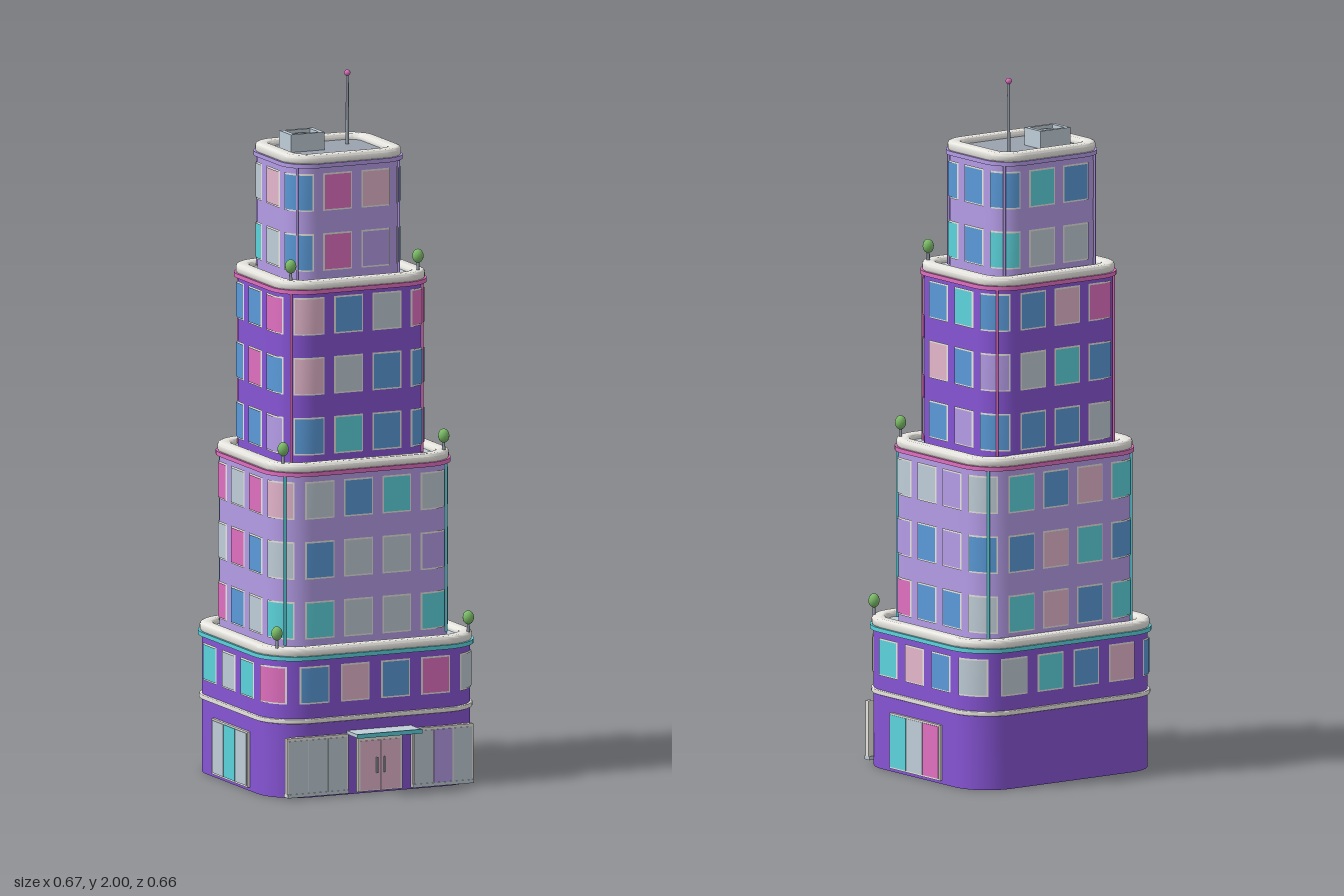
import * as THREE from 'three';
import { toCreasedNormals } from 'three/addons/utils/BufferGeometryUtils.js';

const paint = (name, color) => Object.assign(new THREE.MeshStandardMaterial({ color }), { name });

export function createModel() {
  const model = new THREE.Group();
  model.name = 'steppedTower';

  const purple = paint('purple wall', 0x8654d4), lavender = paint('lavender wall', 0xb49ce6);
  const blue = paint('blue glass', 0x5a9ad8), teal = paint('teal', 0x5cd4dc);
  const pink = paint('pink', 0xe070c0), pale = paint('pale pink glass', 0xe4b6cc);
  const grey = paint('blue grey', 0xc0ced8), cream = paint('warm white trim', 0xe8e6e0);
  const dark = paint('dark grey', 0x9aa2ae), green = paint('green', 0x7cbc68);
  const glass = { B: blue, T: teal, K: pink, P: pale, G: grey, L: lavender };

  function add(name, geometry, material, x = 0, y = 0, z = 0, parent = model) {
    const mesh = new THREE.Mesh(geometry, material);
    mesh.name = name;
    mesh.position.set(x, y, z);
    parent.add(mesh);
    return mesh;
  }
  const box = (name, mat, w, h, d, x, y, z) => add(name, new THREE.BoxGeometry(w, h, d), mat, x, y, z);

  // Rounded rectangle outline, grown by off
  function outline(Type, t, off) {
    const w = t.hw + off, d = t.hd + off, r = Math.max(t.r + off, 0.02), p = new Type();
    p.moveTo(w - r, -d);
    p.absarc(w - r, r - d, r, -Math.PI / 2, 0);
    p.absarc(w - r, d - r, r, 0, Math.PI / 2);
    p.absarc(r - w, d - r, r, Math.PI / 2, Math.PI);
    p.absarc(r - w, r - d, r, Math.PI, Math.PI * 1.5);
    p.closePath();
    return p;
  }

  // Horizontal slab or ring following the outline, from y0 to y1
  function slab(name, mat, t, off, y0, y1, inner = null, bevel = 0) {
    const shape = outline(THREE.Shape, t, off - bevel);
    if (inner !== null) shape.holes.push(outline(THREE.Path, t, inner + bevel));
    const g = new THREE.ExtrudeGeometry(shape, {
      depth: y1 - y0 - 2 * bevel, curveSegments: 5, bevelEnabled: bevel > 0,
      bevelSize: bevel, bevelThickness: bevel, bevelSegments: 2,
    });
    g.rotateX(-Math.PI / 2);
    return add(name, toCreasedNormals(g, 0.9), mat, 0, y0 + bevel, t.cz);
  }

  const perimeter = t => 4 * (t.hw + t.hd - 2 * t.r) + 2 * Math.PI * t.r;

  // Point on the wall at distance s from the front centre, walking towards +x
  function wallPoint(t, s, off) {
    const P = perimeter(t), q = Math.PI * t.r / 2;
    s = (((s + t.hw - t.r) % P) + P) % P;
    for (let k = 0; k < 4; k++) {
      const side = k % 2, half = (side ? t.hd : t.hw) - t.r, face = side ? t.hw : t.hd;
      let along = null, out = face + off;
      if (s < 2 * half) along = s - half;
      else if (s < 2 * half + q) {
        const a = (s - 2 * half) / t.r;
        along = half + (t.r + off) * Math.sin(a);
        out = face - t.r + (t.r + off) * Math.cos(a);
      }
      if (along !== null) return [[along, out], [out, -along], [-along, -out], [-out, along]][k];
      s -= 2 * half + q;
    }
    return [0, t.hd + off];
  }

  // Thin panel that bends with the wall
  function wallPanel(name, mat, t, s, y, w, h, off, parent) {
    const g = new THREE.PlaneGeometry(w, h, 6, 1), p = g.attributes.position;
    for (let i = 0; i < p.count; i++) {
      const [x, z] = wallPoint(t, s + p.getX(i), off);
      p.setXYZ(i, x, y + p.getY(i), z + t.cz);
    }
    g.computeVertexNormals();
    add(name, g, mat, 0, 0, 0, parent);
  }

  // Tiers: half sizes, centre, heights, first window position, glass colours from the lowest row up
  const tiers = [
    { hw: 0.325, hd: 0.2875, cz: -0.0325, r: 0.115, y0: 0, y1: 0.43, wall: purple, trim: teal, deck: grey,
      start: -0.2, rowY: 0.322, tree: [0.298, 0.213], rows: ['BPBKGTPBGGTBPBTGTK'] },
    { hw: 0.277, hd: 0.2425, cz: -0.05, r: 0.1, y0: 0.4, y1: 0.945, wall: lavender, trim: pink, deck: grey, strip: teal,
      start: -0.155, rowY: 0.495, tree: [0.25, 0.152], rows: ['TGGTKBBGTPBTKBGT', 'BGGLLBLBBPTBGKBG', 'GBTGGGLGTBPTKGKP'] },
    { hw: 0.227, hd: 0.199, cz: -0.069, r: 0.088, y0: 0.91, y1: 1.455, wall: purple, trim: pink, deck: grey, strip: pink,
      start: -0.157, rowY: 1.01, tree: [0.198, 0.091], rows: ['BTBBBLBBBGBBL', 'PGBBPBLGTBBKB', 'PBGKBTBBPKBBK'] },
    { hw: 0.176, hd: 0.151, cz: -0.084, r: 0.072, y0: 1.42, y1: 1.803, wall: lavender, trim: lavender, deck: dark, strip: lavender,
      start: -0.042, rowY: 1.524, rows: ['KLTBTGGTGB', 'KPBBBTBGPB'] },
  ];

  for (const t of tiers) {
    slab('tierWall', t.wall, t, 0, t.y0, t.y1 - 0.022);
    slab('roofDeck', t.deck, t, -0.02, t.y1 - 0.024, t.y1 - 0.016);
    slab('trimBand', t.trim, t, 0.011, t.y1 - 0.036, t.y1 - 0.024, -0.01);
    slab('parapet', cream, t, 0.006, t.y1 - 0.028, t.y1, -0.034, 0.008);

    // Framed windows spaced evenly round the wall
    const windows = new THREE.Group();
    windows.name = 'windows';
    model.add(windows);
    t.rows.forEach((row, j) => [...row].forEach((c, i) => {
      const s = t.start + i * perimeter(t) / row.length, y = t.rowY + j * 0.172;
      wallPanel('windowFrame', cream, t, s, y, 0.09, 0.108, 0.003, windows);
      wallPanel('windowPane', glass[c], t, s, y, 0.081, 0.099, 0.005, windows);
    }));

    // Slim accent strips up the rounded corners
    if (t.strip) for (const sx of [-1, 1]) for (const sz of [-1, 1]) {
      const k = t.r * (1 - Math.SQRT1_2), h = t.y1 - t.y0 - 0.06;
      add('cornerStrip', new THREE.CylinderGeometry(0.004, 0.004, h, 8), t.strip,
        sx * (t.hw - k + 0.003), t.y0 + 0.025 + h / 2, t.cz + sz * (t.hd - k + 0.003));
    }

    // Small trees on the front corners of the parapet
    if (t.tree) for (const side of [-1, 1]) {
      const [x, z] = t.tree;
      add('treeTrunk', new THREE.CylinderGeometry(0.004, 0.005, 0.04, 8), dark, side * x, t.y1 + 0.012, z);
      add('treeCrown', new THREE.SphereGeometry(0.016, 14, 10), green, side * x, t.y1 + 0.04, z).scale.y = 1.25;
    }
  }

  // Ledge above the ground floor
  const base = tiers[0], front = base.cz + base.hd;
  slab('groundLedge', cream, base, 0.008, 0.212, 0.226, -0.01, 0.004);

  // Shop windows on the front, three panes each
  for (const side of [-1, 1]) {
    const x0 = side * 0.195;
    box('shopFrame', cream, 0.19, 0.168, 0.016, x0, 0.091, front + 0.002);
    box('shopSill', grey, 0.19, 0.01, 0.024, x0, 0.01, front + 0.002);
    for (let i = -1; i <= 1; i++)
      box('shopPane', side > 0 && i === 0 ? lavender : grey, 0.058, 0.152, 0.004, x0 + i * 0.061, 0.091, front + 0.01);
  }

  // Shop windows on both sides
  for (const side of [-1, 1]) {
    box('sideShopFrame', cream, 0.016, 0.16, 0.24, side * base.hw, 0.09, -0.027);
    const panes = side > 0 ? [teal, grey, pink] : [grey, teal, grey];
    panes.forEach((m, i) =>
      box('sideShopPane', m, 0.004, 0.15, 0.075, side * (base.hw + 0.008), 0.09, -0.027 + (1 - i) * 0.077));
  }

  // Double door with handles
  box('doorFrame', cream, 0.138, 0.155, 0.014, 0, 0.083, front + 0.002);
  for (const side of [-1, 1]) {
    box('doorLeaf', pale, 0.061, 0.142, 0.004, side * 0.0315, 0.08, front + 0.009);
    box('doorHandle', dark, 0.005, 0.045, 0.006, side * 0.011, 0.08, front + 0.013);
  }

  // Entrance canopy
  box('canopy', grey, 0.2, 0.01, 0.085, 0, 0.178, 0.285);
  box('canopyEdge', teal, 0.202, 0.012, 0.005, 0, 0.178, 0.328);

  // Rooftop cooling unit with a raised rim and round fan
  const ux = -0.066, uz = -0.118;
  box('coolingUnit', grey, 0.105, 0.042, 0.078, ux, 1.803, uz);
  for (const side of [-1, 1]) {
    box('coolingRim', grey, 0.105, 0.014, 0.011, ux, 1.831, uz + side * 0.0335);
    box('coolingRim', grey, 0.014, 0.014, 0.056, ux + side * 0.0455, 1.831, uz);
  }
  box('fanTray', dark, 0.077, 0.004, 0.056, ux, 1.825, uz);
  add('fan', new THREE.CylinderGeometry(0.022, 0.022, 0.004, 24), dark, ux, 1.828, uz);

  // Antenna with a pink tip
  add('antennaMast', new THREE.CylinderGeometry(0.004, 0.005, 0.21, 10), dark, 0.085, 1.885, -0.138);
  add('antennaTip', new THREE.SphereGeometry(0.009, 12, 8), pink, 0.085, 1.991, -0.138);

  return model;
}
